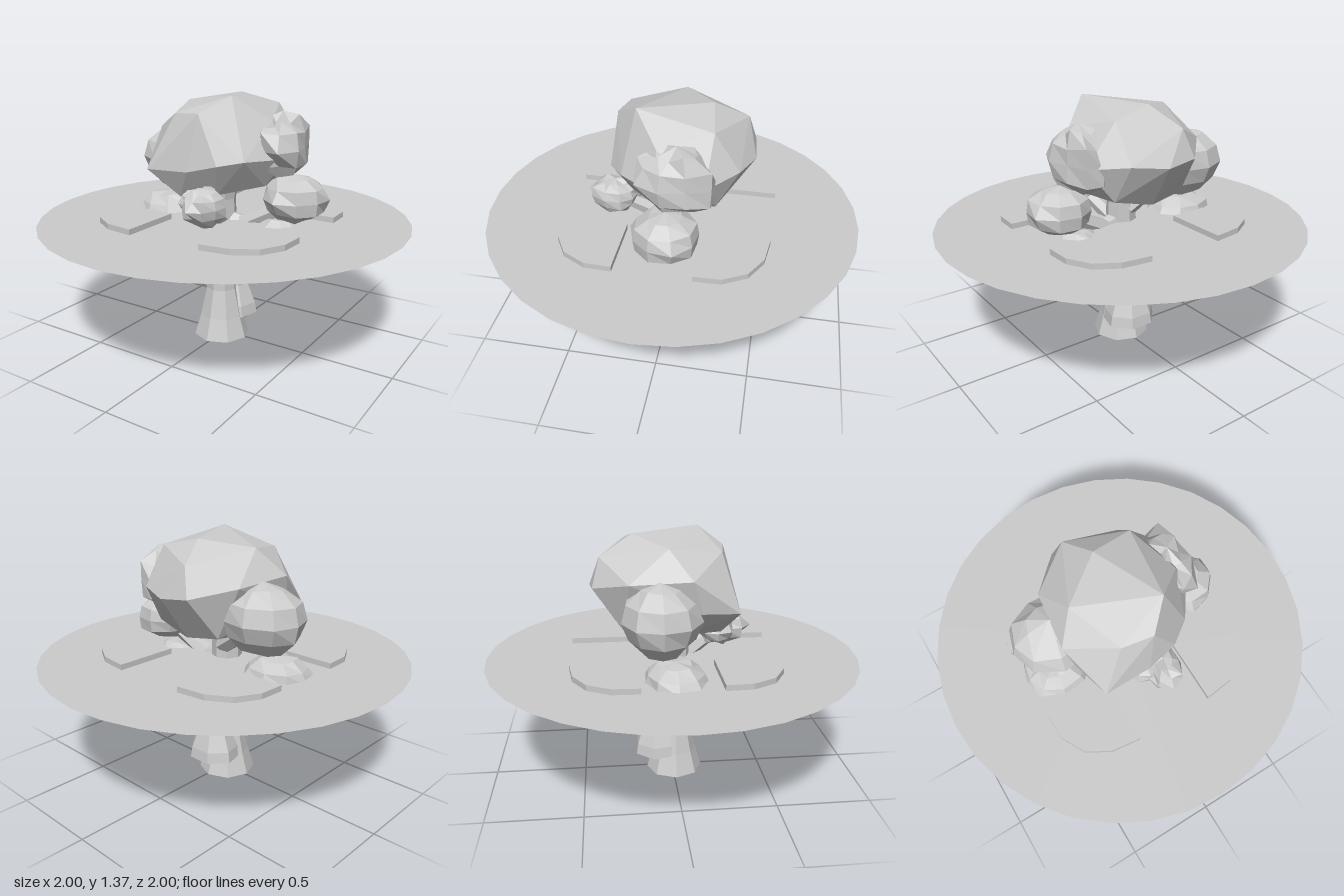
import * as THREE from 'three';
import { ConvexGeometry } from 'three/addons/geometries/ConvexGeometry.js';

const mat = new THREE.MeshStandardMaterial({ color: 0xcccccc, flatShading: true, side: THREE.DoubleSide });

function add(group, name, geometry, pos = [0, 0, 0]) {
  const mesh = new THREE.Mesh(geometry, mat);
  mesh.name = name;
  mesh.position.set(...pos);
  group.add(mesh);
  return mesh;
}

// Repeatable value in -1..1 from a position, so shared corners move together
function noise(x, y, z, seed) {
  const r = (v) => Math.round(v * 50) / 50 + 0;
  const s = Math.sin(r(x) * 12.99 + r(y) * 78.23 + r(z) * 37.72 + seed * 5.31) * 43758.5453;
  return (s - Math.floor(s)) * 2 - 1;
}

// Irregular faceted leaf clump
function clump(radii, seed, rough = 0.1, cols = 9, rows = 6) {
  const geo = new THREE.SphereGeometry(1, cols, rows);
  const p = geo.attributes.position;
  for (let i = 0; i < p.count; i++) {
    const x = p.getX(i), y = p.getY(i), z = p.getZ(i);
    const k = 1 + rough * noise(x, y, z, seed);
    p.setXYZ(i, x * k * radii[0], y * k * radii[1], z * k * radii[2]);
  }
  geo.computeVertexNormals();
  return geo;
}

function lathe(points, sides) {
  return new THREE.LatheGeometry(points.map(([r, y]) => new THREE.Vector2(r, y)), sides);
}

// Tapered limb between two points
function limb(a, b, r0, r1) {
  const from = new THREE.Vector3(...a), to = new THREE.Vector3(...b);
  const dir = to.clone().sub(from);
  const geo = new THREE.CylinderGeometry(r1, r0, dir.length(), 6);
  geo.applyQuaternion(new THREE.Quaternion().setFromUnitVectors(new THREE.Vector3(0, 1, 0), dir.normalize()));
  const mid = from.add(to).multiplyScalar(0.5);
  return geo.translate(mid.x, mid.y, mid.z);
}

export function createModel() {
  const model = new THREE.Group();
  model.name = 'treePlatform';

  // Round ground sheet
  add(model, 'groundDisc', new THREE.CircleGeometry(1, 32).rotateX(-Math.PI / 2), [0, 0.69, 0]);

  // Four rounded corner slabs
  const outline = [[0.21, 0.2], [0.56, 0.2], [0.555, 0.34], [0.49, 0.46], [0.37, 0.53], [0.21, 0.55]];
  for (const sx of [1, -1]) {
    for (const sz of [1, -1]) {
      const shape = new THREE.Shape(outline.map(([x, z]) => new THREE.Vector2(x * sx, z * sz)));
      const geo = new THREE.ExtrudeGeometry(shape, { depth: 0.07, bevelEnabled: false });
      add(model, 'cornerSlab', geo.rotateX(Math.PI / 2), [0, 0.72, 0]);
    }
  }

  // Main trunk, flared at its foot
  add(model, 'trunk', lathe([[0, 0], [0.155, 0], [0.12, 0.12], [0.085, 0.28], [0.082, 0.4],
    [0.095, 0.54], [0.085, 0.64], [0.08, 0.8], [0.1, 0.92], [0, 0.92]], 8), [-0.01, 0, 0.01]);

  // Second trunk leaning against the back
  const back = lathe([[0, 0.11], [0.15, 0.11], [0.14, 0.17], [0.095, 0.28], [0.075, 0.42],
    [0.075, 0.53], [0, 0.53]], 7);
  back.scale(1, 1, 0.9);
  add(model, 'backTrunk', back, [0, 0, -0.085]);

  // Thin collar under the branches
  add(model, 'trunkCollar', lathe([[0, 0.53], [0.225, 0.53], [0.14, 0.55], [0.08, 0.575], [0, 0.575]], 7));

  // Branches reaching into the leaf clumps
  const limbs = [
    [[0, 0.6, 0], [0.32, 0.77, -0.03], 0.06, 0.04],
    [[0.05, 0.68, 0], [0.3, 0.62, -0.05], 0.05, 0.04],
    [[-0.08, 0.51, 0], [-0.18, 0.46, 0.01], 0.06, 0.05],
    [[-0.17, 0.46, 0.01], [-0.34, 0.52, 0], 0.05, 0.035],
    [[-0.02, 0.6, 0], [-0.32, 0.68, -0.02], 0.05, 0.035],
    [[0, 0.66, 0.03], [0.07, 0.8, 0.26], 0.05, 0.035],
    [[-0.02, 0.76, -0.02], [-0.28, 0.93, -0.08], 0.06, 0.04],
  ];
  for (const [a, b, r0, r1] of limbs) add(model, 'branch', limb(a, b, r0, r1));

  // Large faceted crown
  const crown = [
    [0.14, 1.365, 0.15], [-0.02, 1.35, -0.21], [-0.25, 1.31, -0.04], [0.02, 1.28, 0.27],
    [-0.14, 1.27, 0.24], [0.2, 1.3, -0.24], [-0.1, 1.25, -0.38], [0.3, 1.24, 0.02],
    [-0.36, 1.17, 0.07], [-0.32, 1.15, -0.24], [-0.15, 1.1, -0.42], [0.02, 1.08, -0.435],
    [0.2, 1.1, -0.37], [0.36, 1.08, -0.22], [0.38, 1.05, 0.02], [0.25, 1.05, 0.21],
    [0.14, 1.03, 0.29], [-0.02, 0.99, 0.32], [-0.27, 0.98, 0.32], [-0.33, 1.0, 0.12],
    [-0.11, 0.84, 0.25], [0.08, 0.86, 0.2], [0.27, 0.9, 0.03], [0.22, 0.9, -0.26],
    [0, 0.85, -0.28], [-0.2, 0.88, -0.26], [-0.22, 0.86, 0.04],
  ].map((p) => new THREE.Vector3(...p));
  add(model, 'crown', new ConvexGeometry(crown));

  // Smaller leaf clumps: name, centre, radii, seed, roughness
  const clumps = [
    ['upperLeafClumpRight', [-0.34, 0.98, -0.09], [0.235, 0.18, 0.2], 1, 0.06],
    ['sideLeafClumpLeft', [0.405, 0.84, -0.04], [0.175, 0.125, 0.175], 2, 0.07],
    ['crownBulgeLeft', [0.31, 1.09, -0.08], [0.13, 0.17, 0.2], 3, 0.18],
    ['frontLeafClump', [0.08, 0.82, 0.29], [0.1, 0.095, 0.14], 4, 0.18],
    ['frontLeafTuft', [0.0, 0.82, 0.24], [0.09, 0.08, 0.1], 8, 0.15],
    ['lowerLeafClumpRight', [-0.39, 0.67, -0.02], [0.195, 0.115, 0.17], 5, 0.08],
    ['lowestLeafClumpRight', [-0.365, 0.51, 0], [0.12, 0.065, 0.11], 6, 0.12],
    ['lowerLeafClumpLeft', [0.32, 0.64, -0.05], [0.13, 0.085, 0.13], 7, 0.15],
  ];
  for (const [name, pos, radii, seed, rough] of clumps) add(model, name, clump(radii, seed, rough), pos);

  return model;
}
